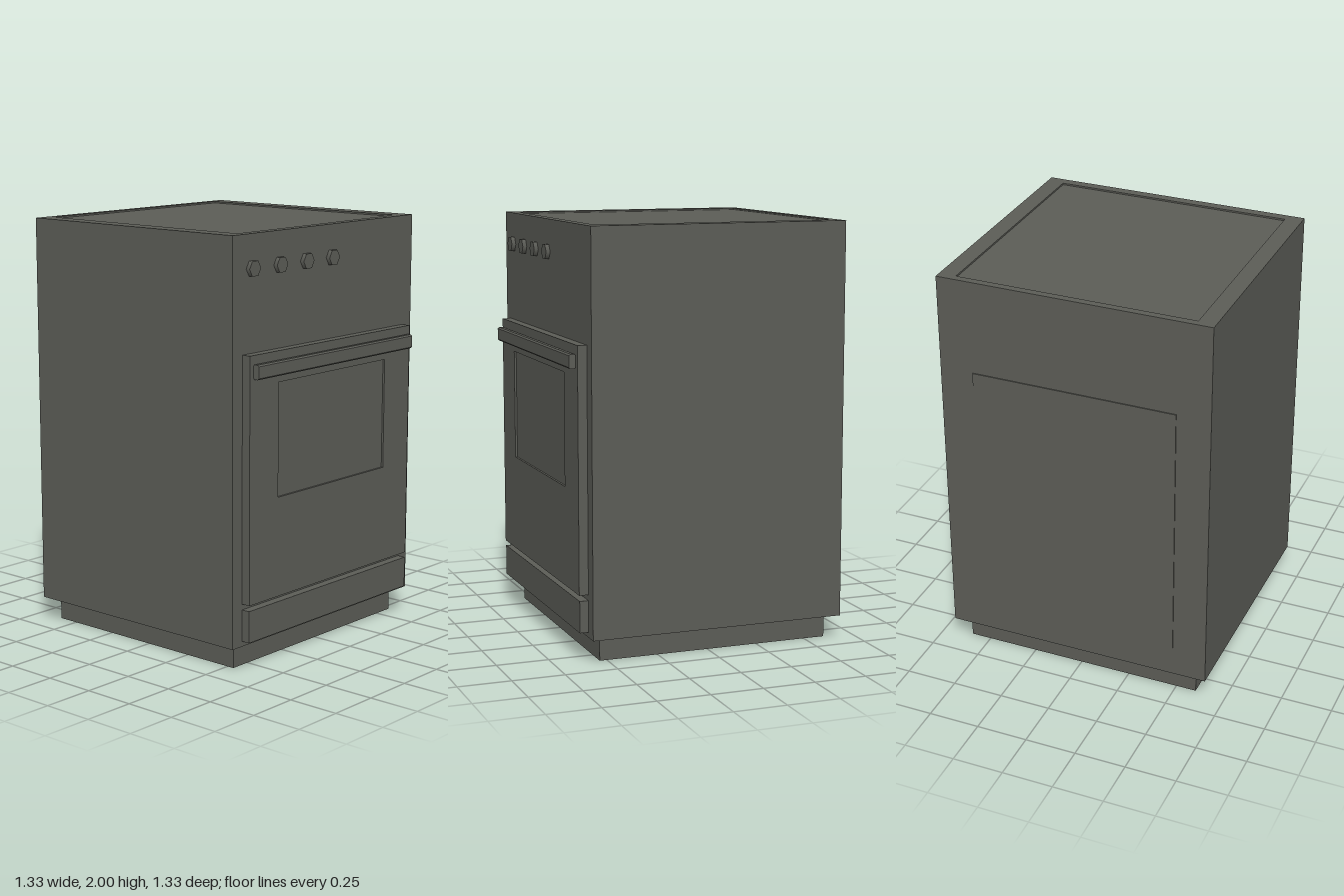
import * as THREE from 'three';

const enamel = new THREE.MeshStandardMaterial({ color: 0x5c5d57 });
enamel.name = 'warm grey enamel';

export function createModel() {
  const model = new THREE.Group();
  model.name = 'cooker';

  const add = (name, geometry) => {
    const mesh = new THREE.Mesh(geometry, enamel);
    mesh.name = name;
    model.add(mesh);
    return mesh;
  };

  // Box given by its limits on each axis
  const box = (name, [x0, x1], [y0, y1], [z0, z1]) =>
    add(name, new THREE.BoxGeometry(x1 - x0, y1 - y0, z1 - z0))
      .position.set((x0 + x1) / 2, (y0 + y1) / 2, (z0 + z1) / 2);

  const rect = (Type, x0, x1, y0, y1) => new Type([
    new THREE.Vector2(x0, y0), new THREE.Vector2(x1, y0),
    new THREE.Vector2(x1, y1), new THREE.Vector2(x0, y1),
  ]);

  // Rectangular frame in the xy plane, extruded along z
  const frame = (outer, inner, depth) => {
    const shape = rect(THREE.Shape, ...outer);
    shape.holes.push(rect(THREE.Path, ...inner));
    return new THREE.ExtrudeGeometry(shape, { depth, bevelEnabled: false });
  };

  // Plinth, cabinet and rear cover plate
  box('plinth', [-0.6, 0.6], [0, 0.115], [-0.605, 0.535]);
  box('cabinet', [-0.665, 0.665], [0.115, 1.69], [-0.66, 0.588]);
  box('backPanel', [-0.5, 0.5], [0.265, 1.54], [-0.665, -0.66]);

  // Control section with a slightly sunken hob
  const hobFrame = frame([-0.665, 0.665, -0.588, 0.66], [-0.581, 0.581, -0.541, 0.624], 0.31);
  hobFrame.rotateX(-Math.PI / 2);
  add('controlSection', hobFrame).position.y = 1.69;
  box('hobPlate', [-0.581, 0.581], [1.7, 1.992], [-0.624, 0.541]);

  // Oven door with a recessed window, and the drawer below
  add('ovenDoor', frame([-0.6, 0.6, 0.317, 1.466], [-0.4, 0.4, 0.788, 1.322], 0.044)).position.z = 0.588;
  box('ovenWindow', [-0.4, 0.4], [0.788, 1.322], [0.59, 0.622]);
  box('drawer', [-0.6, 0.6], [0.14, 0.29], [0.588, 0.63]);

  // Door handle: a flat bar with chamfered edges
  const hy = 0.034, hz = 0.016, c = 0.007;
  const profile = new THREE.Shape([
    [-hz + c, -hy], [hz - c, -hy], [hz, -hy + c], [hz, hy - c],
    [hz - c, hy], [-hz + c, hy], [-hz, hy - c], [-hz, -hy + c],
  ].map(([x, y]) => new THREE.Vector2(x, y)));
  const bar = new THREE.ExtrudeGeometry(profile, { depth: 1.154, bevelEnabled: false });
  bar.translate(0, 0, -0.577).rotateY(-Math.PI / 2);
  add('doorHandle', bar).position.set(0, 1.392, 0.649);

  // Hexagonal control knobs
  for (let i = 0; i < 4; i++) {
    const knob = new THREE.CylinderGeometry(0.039, 0.039, 0.02, 6);
    knob.rotateY(Math.PI / 2).rotateX(Math.PI / 2).rotateZ(Math.PI / 6);
    // Turn so that two corners point sideways
    const p = knob.attributes.position;
    let widest = 0;
    for (let k = 0; k < p.count; k++) widest = Math.max(widest, Math.abs(p.getX(k)));
    if (widest < 0.038) knob.rotateZ(Math.PI / 6);
    add('knob', knob).position.set(-0.536 + i * 0.189, 1.846, 0.598);
  }

  return model;
}
